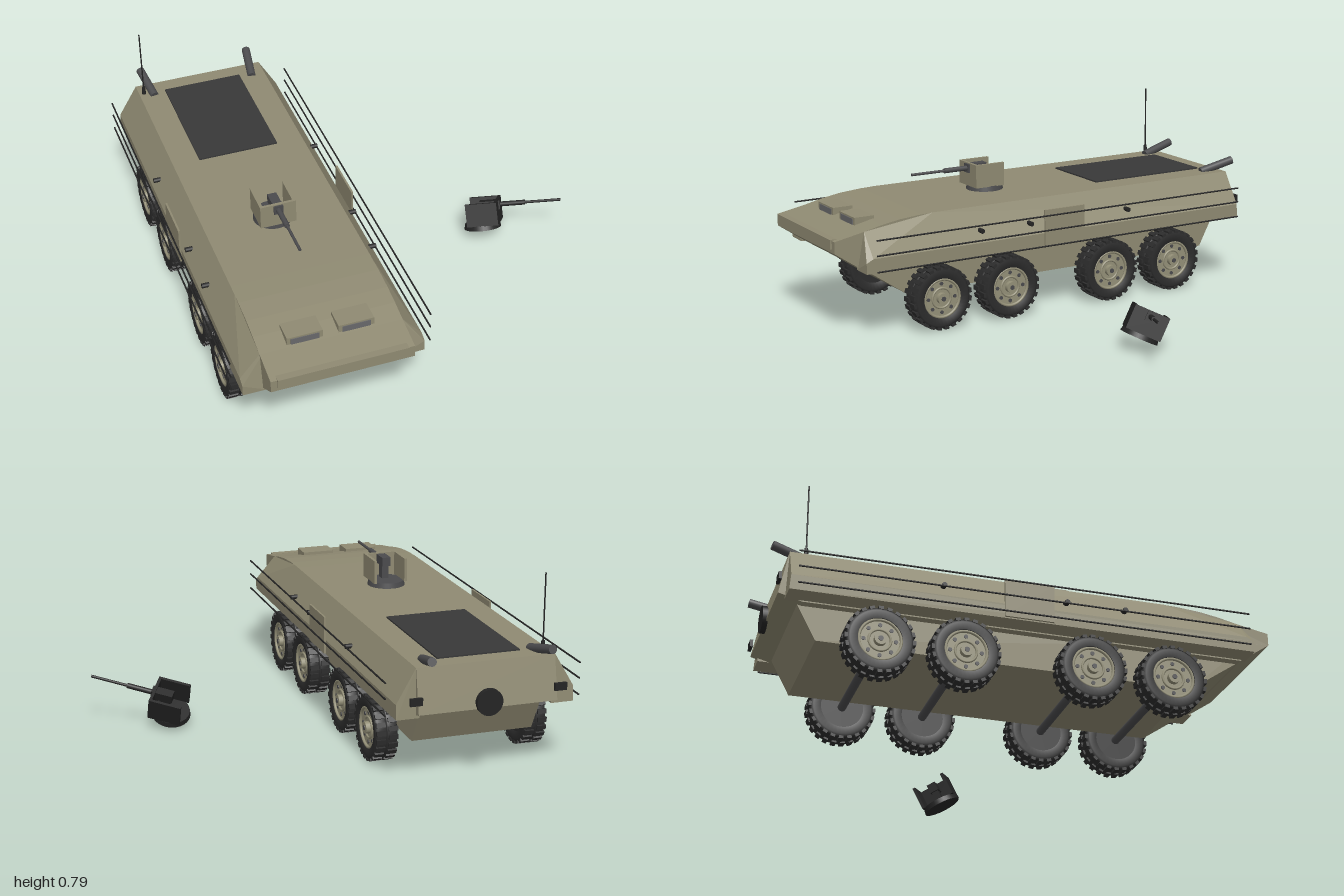
import * as THREE from 'three';
import { ConvexGeometry } from 'three/addons/geometries/ConvexGeometry.js';

const mat = (name, color, extra = {}) =>
  Object.assign(new THREE.MeshStandardMaterial({ color, ...extra }), { name });

export function createModel() {
  const paint = mat('olive paint', 0x8f8a72);
  const rimPaint = mat('rim paint', 0x949078);
  const rubber = mat('tyre rubber', 0x2c2c2c);
  const dark = mat('dark panel', 0x383838);
  const steel = mat('gun steel', 0x4b4b4d);
  const glass = mat('window grey', 0x68686a);
  const black = mat('black metal', 0x242424);

  const root = new THREE.Group();
  root.name = 'armouredCarrier';
  const vehicle = new THREE.Group();
  vehicle.name = 'vehicle';
  vehicle.position.x = -0.447;
  root.add(vehicle);

  const add = (parent, name, geo, material, x = 0, y = 0, z = 0) => {
    const m = new THREE.Mesh(geo, material);
    m.name = name;
    m.position.set(x, y, z);
    parent.add(m);
    return m;
  };
  const box = (w, h, d) => new THREE.BoxGeometry(w, h, d);
  const cylX = (r, len, n = 24) => new THREE.CylinderGeometry(r, r, len, n).rotateZ(Math.PI / 2);
  const cylZ = (r, len, n = 16, r2 = r) => new THREE.CylinderGeometry(r2, r, len, n).rotateX(Math.PI / 2);
  // Side profile of [z, y] points swept across the width
  const slab = (pts, width) => {
    const shape = new THREE.Shape(pts.map(p => new THREE.Vector2(...p)));
    return new THREE.ExtrudeGeometry(shape, { depth: width, bevelEnabled: false })
      .translate(0, 0, -width / 2).rotateY(-Math.PI / 2);
  };

  // Hull
  add(vehicle, 'upperHull', slab([
    [0.99, 0.37], [0.99, 0.42], [0.86, 0.445], [0.78, 0.463], [0.7, 0.476], [0.6, 0.484], [0.5, 0.486],
    [-0.935, 0.486], [-0.972, 0.31], [-0.88, 0.285], [0.865, 0.285]], 0.566), paint);
  add(vehicle, 'lowerHull', slab([
    [0.975, 0.365], [0.66, 0.15], [-0.82, 0.15], [-0.91, 0.32], [0.9, 0.37]], 0.5), paint);
  add(vehicle, 'nosePlate', box(0.515, 0.04, 0.03), paint, 0, 0.405, 0.983);

  // Sloped side sponsons
  for (const s of [-1, 1]) {
    const pts = [
      [0.283, 0.486, 0.55], [0.283, 0.445, 0.86], [0.363, 0.35, 0.86], [0.363, 0.335, 0.89],
      [0.363, 0.29, 0.89], [0.27, 0.445, 0.86], [0.27, 0.29, 0.89], [0.283, 0.486, -0.935],
      [0.363, 0.35, -0.94], [0.363, 0.29, -0.945], [0.27, 0.486, -0.935], [0.27, 0.29, -0.945],
    ].map(([x, y, z]) => new THREE.Vector3(s * x, y, z));
    add(vehicle, 'sponson', new ConvexGeometry(pts), paint);
    add(vehicle, 'sidePlate', box(0.008, 0.157, 0.195), paint, s * 0.368, 0.373, -0.03);

    // Long side rails
    for (const y of [0.433, 0.37, 0.303])
      add(vehicle, 'sideRail', cylZ(0.0035, 1.78, 8), black, s * 0.398, y, -0.03);

    // Side studs
    for (const z of [0.36, 0.125, -0.36])
      add(vehicle, 'sideStud', cylX(0.01, 0.03, 10), black, s * 0.347, 0.397, z);

    // Front hatches with windows
    const hx = s * 0.102;
    add(vehicle, 'frontHatch', box(0.142, 0.045, 0.088), paint, hx, 0.456, 0.805);
    add(vehicle, 'hatchWindow', box(0.112, 0.03, 0.004), glass, hx, 0.457, 0.85);

    // Rear exhausts
    const a = new THREE.Vector3(s * 0.222, 0.485, -0.84), b = new THREE.Vector3(s * 0.244, 0.525, -0.995);
    const pipe = add(vehicle, 'exhaustPipe', new THREE.CylinderGeometry(0.018, 0.018, a.distanceTo(b), 16), steel);
    pipe.position.copy(a).add(b).multiplyScalar(0.5);
    pipe.quaternion.setFromUnitVectors(new THREE.Vector3(0, 1, 0), b.clone().sub(a).normalize());

    add(vehicle, 'tailLight', box(0.05, 0.03, 0.012), black, s * 0.294, 0.365, -0.972);
  }

  // Deck and rear fittings
  add(vehicle, 'engineGrille', box(0.34, 0.008, 0.545), dark, 0, 0.488, -0.588);
  add(vehicle, 'rearDisc', cylZ(0.053, 0.02, 28), black, 0, 0.335, -0.975);
  add(vehicle, 'antennaBase', new THREE.CylinderGeometry(0.007, 0.009, 0.035, 10), black, -0.262, 0.503, -0.87);
  add(vehicle, 'antenna', new THREE.CylinderGeometry(0.003, 0.003, 0.28, 8), black, -0.262, 0.65, -0.87);

  // Wheels: tyre, two offset rows of lugs, dished rim, bolts
  const wheel = side => {
    const g = new THREE.Group();
    g.name = 'wheel';
    const profile = [[0.085, -0.042], [0.115, -0.046], [0.127, -0.038], [0.127, -0.005], [0.12, -0.003],
      [0.12, 0.003], [0.127, 0.005], [0.127, 0.038], [0.115, 0.046], [0.085, 0.042], [0.08, 0.03]];
    const tyre = new THREE.LatheGeometry(profile.map(p => new THREE.Vector2(...p)), 40).rotateZ(-Math.PI / 2);
    add(g, 'tyre', tyre, rubberDouble);
    for (const row of [-1, 1]) for (let i = 0; i < 24; i++) {
      const t = (i + (row > 0 ? 0.5 : 0)) / 24 * Math.PI * 2;
      const lug = add(g, 'treadLug', box(0.038, 0.012, 0.019), rubber,
        row * 0.025, Math.cos(t) * 0.128, Math.sin(t) * 0.128);
      lug.rotation.x = t;
    }
    add(g, 'innerDisc', cylX(0.088, 0.03), rubber, -side * 0.022);
    add(g, 'rimDisc', cylX(0.082, 0.04), rimPaint, side * 0.01);
    add(g, 'rimRing', new THREE.TorusGeometry(0.08, 0.006, 8, 32).rotateY(Math.PI / 2), rimPaint, side * 0.036);
    add(g, 'hubRing', new THREE.TorusGeometry(0.042, 0.005, 8, 24).rotateY(Math.PI / 2), rimPaint, side * 0.031);
    add(g, 'hubCap', cylX(0.024, 0.03, 16), rimPaint, side * 0.034);
    add(g, 'hubCentre', cylX(0.01, 0.01, 10), steel, side * 0.047);
    for (let i = 0; i < 8; i++) {
      const t = i / 8 * Math.PI * 2;
      add(g, 'rimHole', cylX(0.008, 0.006, 10), steel, side * 0.03, Math.cos(t) * 0.061, Math.sin(t) * 0.061);
    }
    return g;
  };
  const rubberDouble = rubber;
  rubber.side = THREE.DoubleSide;
  for (const z of [0.548, 0.224, -0.273, -0.6]) {
    add(vehicle, 'axle', cylX(0.017, 0.6, 16), steel, 0, 0.138, z);
    for (const s of [-1, 1]) {
      const w = wheel(s);
      w.position.set(s * 0.314, 0.138, z);
      vehicle.add(w);
    }
  }

  // Gun station: turntable, three-sided shield, receiver and barrel
  const gunStation = (name, shield, base, gun) => {
    const g = new THREE.Group();
    g.name = name;
    add(g, 'turntable', new THREE.CylinderGeometry(0.076, 0.08, 0.022, 32), base, 0, 0.011, 0);
    add(g, 'shieldFront', box(0.148, 0.1, 0.012), shield, 0, 0.07, 0.075);
    for (const s of [-1, 1])
      add(g, 'shieldSide', box(0.012, 0.1, 0.135), shield, s * 0.068, 0.07, 0.012);
    add(g, 'pedestal', box(0.03, 0.06, 0.04), gun, 0, 0.05, 0.03);
    add(g, 'receiver', box(0.038, 0.038, 0.09), gun, 0, 0.097, 0.043);
    add(g, 'barrelSleeve', cylZ(0.011, 0.12, 14), gun, 0, 0.097, 0.135);
    add(g, 'barrel', cylZ(0.006, 0.17, 12), gun, 0, 0.097, 0.265);
    return g;
  };
  const turret = gunStation('gunStation', paint, steel, steel);
  turret.position.set(0, 0.486, 0.148);
  vehicle.add(turret);

  // Loose spare gun station lying beside the vehicle
  const spare = gunStation('spareGunStation', black, black, black);
  const forward = new THREE.Vector3(0.86, 0.2, 0.46).normalize();
  const right = new THREE.Vector3(0.034, 0.89, -0.45).cross(forward).normalize();
  const up = forward.clone().cross(right);
  spare.quaternion.setFromRotationMatrix(new THREE.Matrix4().makeBasis(right, up, forward));
  spare.position.set(0.545, 0.052, 0.012);
  root.add(spare);

  return root;
}
